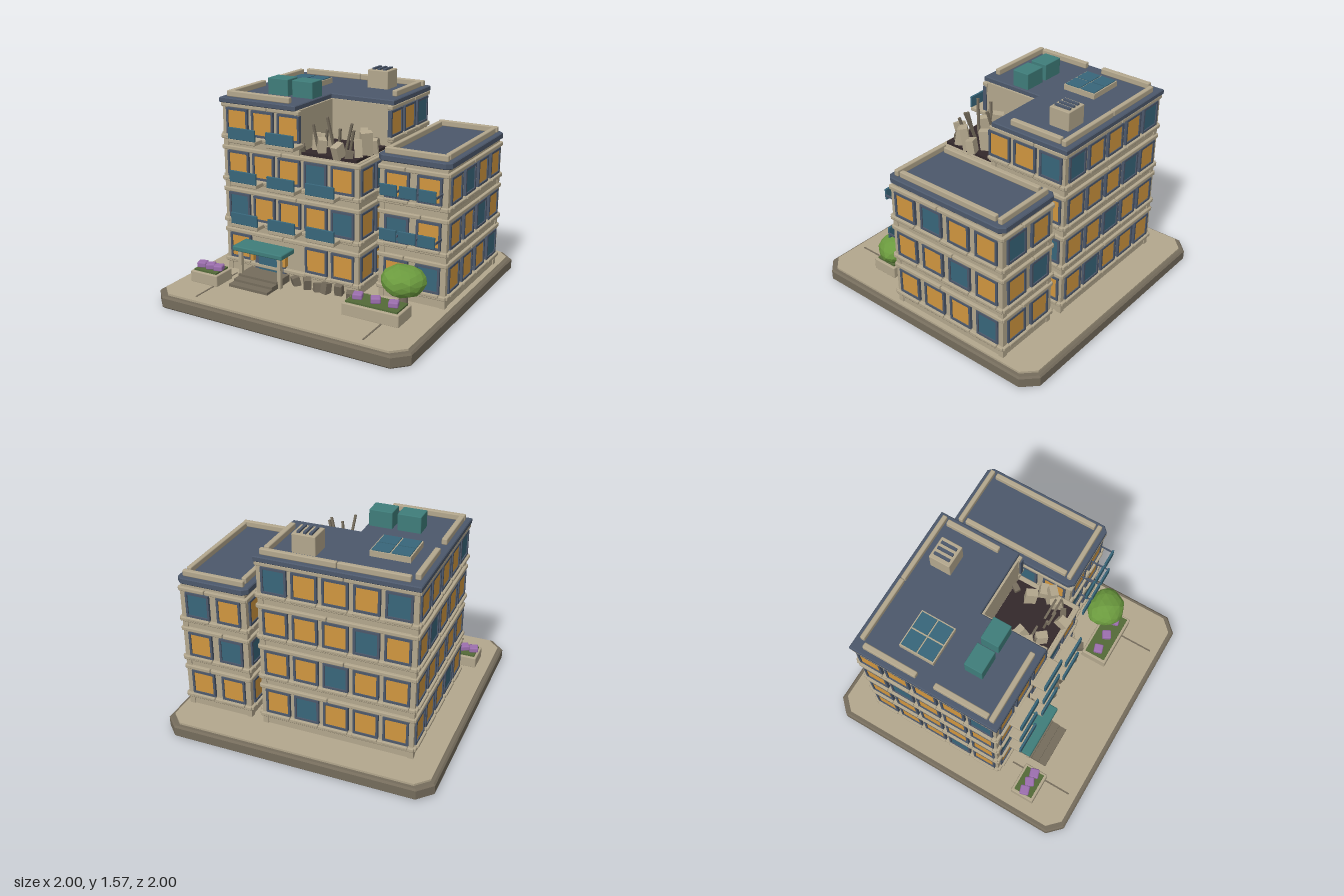
import * as THREE from 'three';
import { RoundedBoxGeometry } from 'three/addons/geometries/RoundedBoxGeometry.js';

const paint = (name, color) => {
  const m = new THREE.MeshStandardMaterial({ color });
  m.name = name;
  return m;
};

export function createModel() {
  const tan = paint('tan concrete', 0xb3a78d), stone = paint('dark stone', 0x756c5c);
  const lit = paint('lit window', 0xd0963f), glass = paint('blue glass', 0x38667a);
  const sea = paint('sea green metal', 0x3f7d7a), slate = paint('slate', 0x4c586b);
  const dark = paint('burnt floor', 0x33282b), purple = paint('purple petals', 0x9c6fae);
  const leaf = paint('leaf green', 0x6b9a3e), moss = paint('planter moss', 0x536a38);

  const root = new THREE.Group();
  let seed = 7;
  const rnd = () => (seed = (seed * 16807) % 2147483647) / 2147483647;

  const add = (parent, name, geo, mat, x = 0, y = 0, z = 0) => {
    const m = new THREE.Mesh(geo, mat);
    m.name = name;
    m.position.set(x, y, z);
    parent.add(m);
    return m;
  };
  // box given by its min and max on each axis
  const box = (p, name, mat, x0, x1, y0, y1, z0, z1, r = 0) => {
    const s = [x1 - x0, y1 - y0, z1 - z0];
    const g = r ? new RoundedBoxGeometry(...s, 1, r) : new THREE.BoxGeometry(...s);
    return add(p, name, g, mat, (x0 + x1) / 2, (y0 + y1) / 2, (z0 + z1) / 2);
  };
  // flat slab from a plan outline in x, z
  const slab = (p, name, mat, pts, y0, y1, b = 0) => {
    const g = new THREE.ExtrudeGeometry(new THREE.Shape(pts.map(q => new THREE.Vector2(...q))), {
      depth: y1 - y0 - 2 * b, bevelEnabled: b > 0, bevelSize: b, bevelThickness: b, bevelOffset: -b, bevelSegments: 1 });
    g.rotateX(Math.PI / 2);
    return add(p, name, g, mat, 0, y1 - b, 0);
  };
  const octagon = (x0, x1, z0, z1, c) => [[x0 + c, z0], [x1 - c, z0], [x1, z0 + c], [x1, z1 - c],
    [x1 - c, z1], [x0 + c, z1], [x0, z1 - c], [x0, z0 + c]];

  // Ground
  slab(root, 'base', stone, octagon(-1, 1, -1, 1, 0.1), 0, 0.09, 0.012);
  slab(root, 'pavement', tan, octagon(-0.965, 0.965, -0.965, 0.965, 0.09), 0.085, 0.105);
  box(root, 'pavementJoint', stone, -0.675, -0.663, 0.1, 0.108, 0.42, 0.91);
  box(root, 'pavementJoint', stone, 0.655, 0.667, 0.1, 0.108, 0.6, 0.91);

  const PITCH = 0.316;
  // One facade: rows run from the ground up, left to right seen from outside; O lit, T dark, . none
  const facade = (name, x, z, turn, len, step, rows, topRange) => {
    const f = new THREE.Group();
    f.name = name;
    f.position.set(x, 0, z);
    f.rotation.y = turn;
    root.add(f);
    rows.forEach((row, k) => {
      const y = 0.305 + k * PITCH, last = k === rows.length - 1;
      const [a, b] = last && topRange ? topRange : [-len / 2, len / 2];
      const mid = (a + b) / 2 + (k % 2 ? 0.06 : -0.06);
      [[a - 0.015, mid - 0.003], [mid + 0.003, b + 0.015]].forEach(([l, r]) => {
        box(f, 'sillLedge', tan, l, r, y - 0.135, y - 0.105, -0.02, 0.028, 0.007);
        box(f, 'topLedge', tan, l, r, y + 0.1, y + 0.13, -0.02, 0.022, 0.007);
      });
      // corner piers
      for (const e of [a + 0.012, b - 0.012]) box(f, 'pier', tan, e - 0.02, e + 0.02, y - 0.2, y + 0.11, -0.02, 0.008);
      [...row].forEach((c, i) => {
        if (c === '.') return;
        const wx = (i - (row.length - 1) / 2) * step;
        for (const s of [-1, 1]) {
          box(f, 'windowFrame', slate, wx + s * 0.083 - 0.008, wx + s * 0.083 + 0.008, y - 0.095, y + 0.095, -0.01, 0.02);
          box(f, 'windowFrame', slate, wx - 0.09, wx + 0.09, y + s * 0.088 - 0.008, y + s * 0.088 + 0.008, -0.01, 0.02);
        }
        box(f, 'windowPane', c === 'O' ? lit : glass, wx - 0.077, wx + 0.077, y - 0.082, y + 0.082, 0.004, 0.012);
        box(f, 'windowSill', tan, wx - 0.09, wx + 0.09, y - 0.118, y - 0.096, -0.01, 0.038, 0.006);
      });
    });
  };

  // Main block with its broken top corner
  const L = (x0, x1, z0, z1, nx, nz) => [[x0, z0], [x1, z0], [x1, nz], [nx, nz], [nx, z1], [x0, z1]];
  box(root, 'mainBlock', tan, -0.78, 0.32, 0.1, 1.07, -0.72, 0.35);
  slab(root, 'mainTopFloor', tan, L(-0.78, 0.32, -0.72, 0.35, -0.15, -0.11), 1.06, 1.385);
  slab(root, 'mainRoof', slate, L(-0.805, 0.34, -0.745, 0.375, -0.165, -0.125), 1.38, 1.42, 0.006);
  facade('mainFront', -0.23, 0.35, 0, 1.1, 0.216, ['O..OO', 'TOOOT', 'OOOTO', 'OOO..'], [-0.55, 0.075]);
  facade('mainRight', 0.32, -0.185, Math.PI / 2, 1.07, 0.215, ['OOTOO', 'OOOOT', 'OTOOO', '..OOT'], [-0.07, 0.535]);
  facade('mainBack', -0.23, -0.72, Math.PI, 1.1, 0.216, ['OTOOO', 'OOTOO', 'OOOTO', 'TOOOT']);
  facade('mainLeft', -0.78, -0.185, -Math.PI / 2, 1.07, 0.215, ['OOOTO', 'OOOOO', 'OTOOO', 'OOOOT']);

  // Side block
  box(root, 'sideBlock', tan, 0.435, 0.925, 0.1, 1.11, -0.705, 0.24);
  slab(root, 'sideRoof', slate, octagon(0.41, 0.95, -0.73, 0.265, 0.035), 1.095, 1.14, 0.006);
  facade('sideFront', 0.68, 0.24, 0, 0.49, 0.24, ['OT', 'TO', 'OO']);
  facade('sideRight', 0.925, -0.2325, Math.PI / 2, 0.945, 0.235, ['OOOT', 'OOTO', 'OTOO']);
  facade('sideBack', 0.68, -0.705, Math.PI, 0.49, 0.24, ['OO', 'OT', 'TO']);
  facade('sideLeft', 0.435, -0.2325, -Math.PI / 2, 0.945, 0.235, ['OOOO', 'TOOO', 'OOTO']);

  // Parapet rails
  const rails = (y, list) => list.forEach(([x0, x1, z0, z1]) => box(root, 'parapetRail', tan, x0, x1, y, y + 0.045, z0, z1, 0.008));
  rails(1.418, [[-0.72, -0.232, -0.71, -0.675], [-0.228, 0.31, -0.71, -0.675], [-0.77, -0.73, -0.66, -0.255],
    [-0.77, -0.73, -0.12, 0.285], [-0.77, -0.24, 0.295, 0.333], [0.26, 0.3, -0.66, -0.25]]);
  rails(1.138, [[0.455, 0.492, -0.64, 0.18], [0.875, 0.912, -0.64, 0.18], [0.45, 0.915, -0.695, -0.66], [0.45, 0.915, 0.192, 0.228]]);

  // Roof tanks, vent and skylight
  for (const x of [-0.47, -0.265]) box(root, 'roofTank', sea, x - 0.085, x + 0.085, 1.41, 1.54, -0.015, 0.12, 0.006);
  box(root, 'roofVent', tan, -0.04, 0.13, 1.41, 1.555, -0.6, -0.44, 0.006);
  for (const x of [0, 0.045, 0.09]) box(root, 'ventSlot', slate, x - 0.01, x + 0.01, 1.55, 1.568, -0.58, -0.46);
  box(root, 'skylightFrame', tan, -0.635, -0.355, 1.41, 1.46, -0.46, -0.2);
  for (const x of [-0.563, -0.427]) for (const z of [-0.393, -0.267])
    box(root, 'skylightPane', glass, x - 0.062, x + 0.062, 1.458, 1.466, z - 0.058, z + 0.058);

  // Main balconies
  for (let k = 1; k < 4; k++) for (const x of [-0.548, -0.232, 0.085]) {
    if (k === 3 && x > 0) continue;
    const y = 0.175 + k * PITCH;
    box(root, 'balconyFloor', tan, x - 0.112, x + 0.112, y, y + 0.032, 0.34, 0.478, 0.007);
    box(root, 'balconyPanel', glass, x - 0.113, x + 0.113, y + 0.03, y + 0.115, 0.464, 0.48, 0.004);
  }
  // Side block window guards on brackets
  for (let k = 1; k < 3; k++) for (const x of [0.545, 0.688, 0.83]) {
    const y = 0.255 + k * PITCH;
    box(root, 'guardPanel', glass, x - 0.063, x + 0.063, y, y + 0.082, 0.345, 0.36, 0.004);
    box(root, 'guardBracket', slate, x + 0.06, x + 0.068, y + 0.03, y + 0.045, 0.24, 0.35);
  }

  // Entrance
  box(root, 'doorSurround', slate, -0.535, -0.275, 0.1, 0.335, 0.33, 0.37);
  box(root, 'door', glass, -0.5, -0.315, 0.13, 0.322, 0.368, 0.376);
  box(root, 'canopy', sea, -0.62, -0.195, 0.333, 0.372, 0.36, 0.535, 0.01);
  for (const x of [-0.57, -0.235]) box(root, 'canopyPost', tan, x - 0.014, x + 0.014, 0.1, 0.335, 0.485, 0.513);
  for (const x of [-0.543, -0.267]) box(root, 'wallLamp', lit, x - 0.014, x + 0.014, 0.225, 0.295, 0.36, 0.4);
  [0.65, 0.59, 0.53].forEach((z, i) => box(root, 'step', stone, -0.575, -0.245, 0.1, 0.125 + i * 0.017, 0.36, z));

  // Collapsed corner: burnt floor, bent rods and broken slabs
  box(root, 'burntFloor', dark, -0.14, 0.295, 1.06, 1.09, -0.105, 0.335);
  const chunk = (x, y, z, w, h, d, mat) => {
    const m = add(root, 'rubble', new THREE.BoxGeometry(w, h, d), mat, x, y, z);
    m.rotation.set((rnd() - 0.5) * 0.6, rnd() * 3, (rnd() - 0.5) * 0.6);
  };
  [[-0.06, 0.12, 0.1], [-0.1, 0.2, 0.12], [-0.02, 0.26, 0.1], [0.2, 0.05, 0.15], [0.28, 0.17, 0.17], [0.25, 0.23, 0.12],
    [0.15, 0.33, 0.1], [0.29, 0.1, 0.1]].forEach(([x, z, h]) => chunk(x, 1.085 + h / 2, z, 0.08, h, 0.055, tan));
  [[-0.15, 0.31], [-0.13, 0.1], [0.22, -0.08], [0.22, 0.3]].forEach(([x, z]) => chunk(x, 1.11, z, 0.055, 0.06, 0.04, stone));
  [[-0.08, 0.24, 0.2, 0.12], [-0.02, 0.2, 0.17, -0.2], [0.05, 0.25, 0.27, 0.15], [0.12, 0.26, 0.2, -0.15],
    [0.17, 0.22, 0.24, -0.3], [0.21, 0.25, 0.2, -0.25]].forEach(([x, z, h, tilt]) => {
    const m = box(root, 'bentRod', stone, x - 0.008, x + 0.008, 1.08, 1.08 + h, z - 0.008, z + 0.008);
    m.rotation.set(0.15, 0, tilt);
  });
  [[-0.17, 0.39, 0.07], [-0.06, 0.41, 0.09], [0.02, 0.4, 0.06], [0.09, 0.4, 0.08], [0.19, 0.39, 0.09], [0.29, 0.41, 0.06],
    [0.4, 0.41, 0.06]].forEach(([x, z, s]) => chunk(x, 0.1 + s / 2, z, 0.055, s, 0.055, stone));

  // Planters with flower blocks
  const planter = (x0, x1, z0, z1, y, flowers, fz) => {
    box(root, 'planter', tan, x0, x1, 0.1, y, z0, z1, 0.008);
    box(root, 'planterMoss', moss, x0 + 0.02, x1 - 0.02, y - 0.01, y + 0.012, z0 + 0.02, z1 - 0.02);
    flowers.forEach((x, i) => {
      const m = box(root, 'flower', purple, x - 0.035, x + 0.035, y + 0.008, y + 0.05, fz - 0.035, fz + 0.035, 0.01);
      m.rotation.y = 0.3 + (i % 2) * 0.2;
    });
  };
  planter(-0.875, -0.64, 0.52, 0.705, 0.188, [-0.83, -0.757, -0.685], 0.615);
  planter(0.355, 0.785, 0.45, 0.655, 0.192, [0.43, 0.565, 0.7], 0.555);

  // Tree
  add(root, 'treeTrunk', new THREE.CylinderGeometry(0.028, 0.038, 0.2, 7), stone, 0.715, 0.2, 0.44);
  const crown = new THREE.IcosahedronGeometry(1, 2), p = crown.attributes.position;
  for (let i = 0; i < p.count; i++) {
    const [x, y, z] = [p.getX(i), p.getY(i), p.getZ(i)];
    const s = 0.98 + 0.06 * Math.sin(5 * x + 3 * y) * Math.cos(4 * z - 2 * x);
    p.setXYZ(i, x * s * 0.16, y * s * 0.11, z * s * 0.145);
  }
  crown.computeVertexNormals();
  add(root, 'treeCrown', crown, leaf, 0.715, 0.35, 0.455);

  return root;
}
